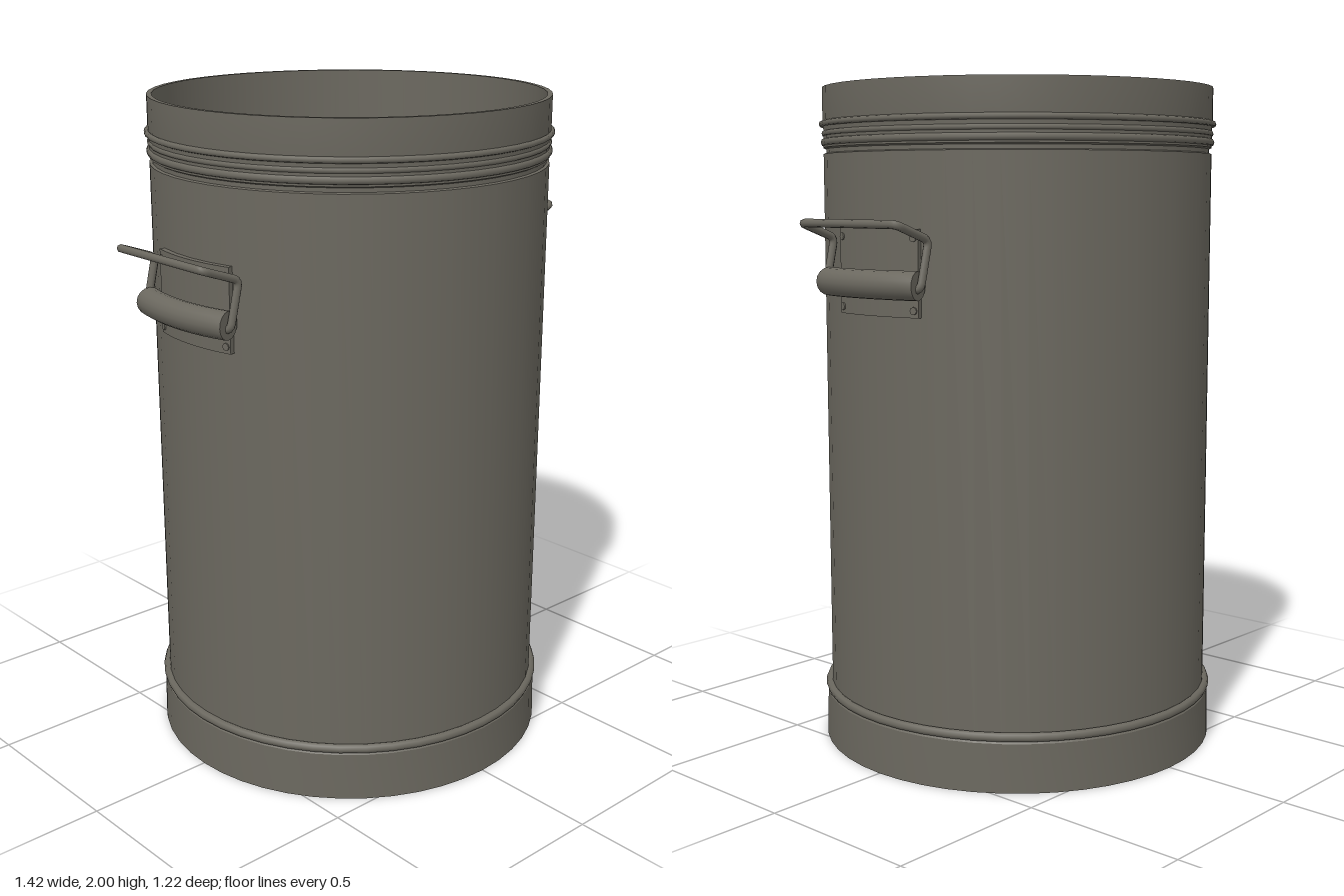
import * as THREE from 'three';
import { toCreasedNormals } from 'three/addons/utils/BufferGeometryUtils.js';

const SEGMENTS = 48;
const V = (x, y, z) => new THREE.Vector3(x, y, z);

// Polyline path with rounded corners
function roundedPath(points, radius) {
  const path = new THREE.CurvePath();
  let from = points[0];
  for (let i = 1; i < points.length - 1; i++) {
    const p = points[i];
    const a = p.clone().add(points[i - 1].clone().sub(p).setLength(radius));
    const b = p.clone().add(points[i + 1].clone().sub(p).setLength(radius));
    path.add(new THREE.LineCurve3(from, a));
    path.add(new THREE.QuadraticBezierCurve3(a, p, b));
    from = b;
  }
  path.add(new THREE.LineCurve3(from, points[points.length - 1]));
  return path;
}

export function createModel() {
  const metal = new THREE.MeshStandardMaterial({ color: 0x6b685f });
  metal.name = 'dull grey metal';

  const model = new THREE.Group();
  model.name = 'metalCan';

  const add = (parent, name, geometry) => {
    const mesh = new THREE.Mesh(geometry, metal);
    mesh.name = name;
    parent.add(mesh);
    return mesh;
  };

  // Open can: base skirt, wall, grooved neck, rim, inner wall and floor
  const profile = [
    [0, 0], [0.607, 0], [0.604, 0.145], [0.59, 0.165], [0.59, 1.803],
    [0.582, 1.806], [0.582, 1.818], [0.59, 1.822], [0.59, 1.88],
    [0.592, 1.895], [0.592, 2], [0.577, 2], [0.577, 0.03], [0, 0.03],
  ].map(([r, y]) => new THREE.Vector2(r, y));
  add(model, 'canBody', toCreasedNormals(new THREE.LatheGeometry(profile, SEGMENTS), 0.5));

  // Raised beads: [name, radius, height, thickness]
  for (const [name, radius, y, tube] of [
    ['baseBead', 0.595, 0.162, 0.014],
    ['lowerNeckBead', 0.586, 1.838, 0.012],
    ['upperNeckBead', 0.586, 1.864, 0.009],
    ['rimBead', 0.594, 1.892, 0.009],
  ]) {
    const bead = new THREE.TorusGeometry(radius, tube, 8, SEGMENTS);
    bead.rotateX(Math.PI / 2);
    add(model, name, bead).position.y = y;
  }

  // Curved mounting plate hugging the wall
  const half = 0.265;
  const plateShape = new THREE.Shape();
  plateShape.absarc(0, 0, 0.606, -half, half, false);
  plateShape.absarc(0, 0, 0.585, half, -half, true);
  const plate = new THREE.ExtrudeGeometry(plateShape, { depth: 0.245, bevelEnabled: false, curveSegments: 10 });
  plate.rotateX(-Math.PI / 2).translate(0, 1.345, 0);
  const plateGeometry = toCreasedNormals(plate, 0.5);

  // Grip roll: a cylinder bent around the can axis
  const grip = new THREE.CylinderGeometry(0.041, 0.041, 0.37, 16, 10);
  grip.rotateX(Math.PI / 2);
  const pos = grip.attributes.position;
  for (let i = 0; i < pos.count; i++) {
    const angle = pos.getZ(i) / 0.635;
    const r = 0.635 + pos.getX(i);
    pos.setXYZ(i, r * Math.cos(angle), pos.getY(i) + 1.436, r * Math.sin(angle));
  }
  const gripGeometry = toCreasedNormals(grip, 0.6);

  // Bent wire bail, running from one end of the grip to the other
  const side = [V(0.62, 1.425, 0.15), V(0.61, 1.425, 0.193), V(0.578, 1.56, 0.193), V(0.7, 1.604, 0.193)];
  const otherSide = side.map((p) => V(p.x, p.y, -p.z)).reverse();
  const wirePath = roundedPath([...side, ...otherSide], 0.02);
  const wireGeometry = new THREE.TubeGeometry(wirePath, 120, 0.012, 8);

  // Rivet lying along x
  const rivetGeometry = new THREE.CylinderGeometry(0.011, 0.011, 0.012, 8);
  rivetGeometry.rotateZ(Math.PI / 2);

  // Two handles, opposite each other
  for (const [name, turn] of [['leftHandle', 0], ['rightHandle', Math.PI]]) {
    const handle = new THREE.Group();
    handle.name = name;
    handle.rotation.y = turn;
    add(handle, 'mountingPlate', plateGeometry);
    add(handle, 'gripRoll', gripGeometry);
    add(handle, 'wireBail', wireGeometry);
    for (const y of [1.365, 1.565]) {
      for (const angle of [-0.24, 0.24]) {
        const rivet = add(handle, 'rivet', rivetGeometry);
        rivet.position.set(0.604 * Math.cos(angle), y, 0.604 * Math.sin(angle));
        rivet.rotation.y = -angle;
      }
    }
    model.add(handle);
  }

  return model;
}
